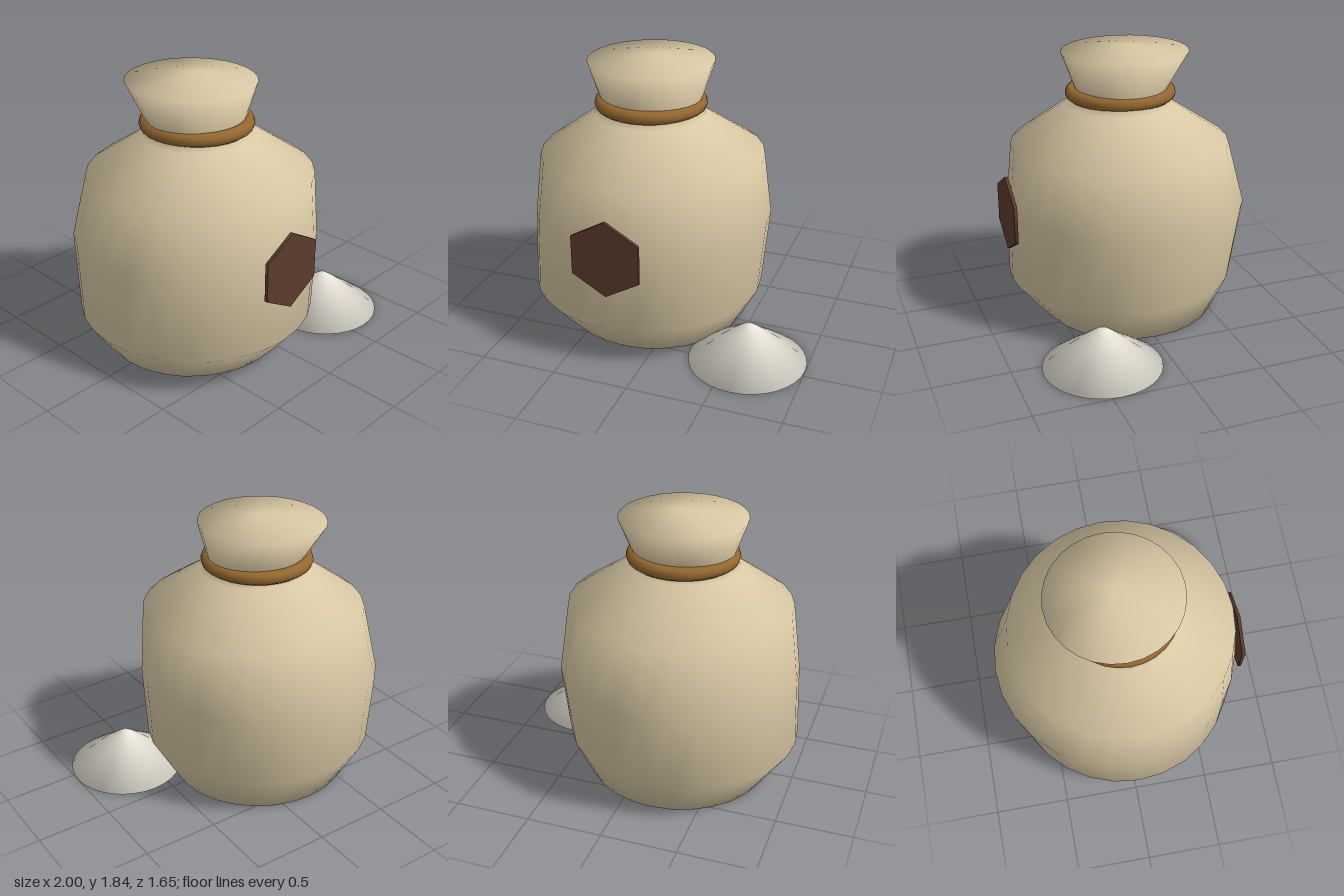
import * as THREE from 'three';

const mat = (name, color) => {
  const m = new THREE.MeshStandardMaterial({ color });
  m.name = name;
  return m;
};

// Closed smooth loft through elliptical rings [y, xMin, xMax, zMin, zMax], with a pole at each end
function loft(rings, bottom, top, sides) {
  const pos = [], index = [];
  for (const [y, x0, x1, z0, z1] of rings) {
    for (let i = 0; i < sides; i++) {
      const a = (i / sides) * Math.PI * 2;
      pos.push((x0 + x1) / 2 + Math.sin(a) * (x1 - x0) / 2, y, (z0 + z1) / 2 + Math.cos(a) * (z1 - z0) / 2);
    }
  }
  const b = rings.length * sides, t = b + 1, last = (rings.length - 1) * sides;
  pos.push(...bottom, ...top);
  for (let i = 0; i < sides; i++) {
    const j = (i + 1) % sides;
    for (let r = 0; r < last; r += sides) {
      index.push(r + i, r + j, r + sides + j, r + i, r + sides + j, r + sides + i);
    }
    index.push(b, j, i, t, last + i, last + j);
  }
  const g = new THREE.BufferGeometry();
  g.setAttribute('position', new THREE.Float32BufferAttribute(pos, 3));
  g.setIndex(index);
  g.computeVertexNormals();
  return g;
}

export function createModel() {
  const group = new THREE.Group();
  const add = (name, geometry, material, x = 0, y = 0, z = 0) => {
    const mesh = new THREE.Mesh(geometry, material);
    mesh.name = name;
    mesh.position.set(x, y, z);
    group.add(mesh);
    return mesh;
  };

  const burlap = mat('burlap', 0xd8c8a4);
  const rope = mat('rope', 0x94682f);
  const leather = mat('dark leather', 0x5c3d2e);
  const flour = mat('flour', 0xe8e4d8);

  // Sack: slightly lopsided body, pinched neck and flared, closed mouth
  add('sack', loft([
    [0, -0.81, 0.41, -0.62, 0.57],
    [0.26, -1.0, 0.55, -0.75, 0.79],
    [0.77, -0.985, 0.59, -0.825, 0.795],
    [1.2, -0.92, 0.55, -0.7, 0.755],
    [1.46, -0.565, 0.165, -0.31, 0.375],
    [1.55, -0.53, 0.13, -0.275, 0.31],
    [1.8, -0.62, 0.2, -0.445, 0.4],
  ], [-0.2, 0, -0.02], [-0.18, 1.84, -0.02], 28), burlap);

  // Rope tied round the neck
  const tie = new THREE.TorusGeometry(0.322, 0.044, 10, 28);
  tie.rotateX(Math.PI / 2);
  add('neckRope', tie, rope, -0.2, 1.53, 0.015);

  // Six-sided patch on the front
  const patch = new THREE.CylinderGeometry(0.257, 0.257, 0.022, 6);
  patch.rotateX(Math.PI / 2);
  add('frontPatch', patch, leather, -0.2, 0.772, 0.81);

  // Spilled heap beside the sack
  add('heap', loft([
    [0, -0.385, 0.385, -0.385, 0.385],
    [0.257, -0.036, 0.036, -0.036, 0.036],
  ], [0, 0, 0], [0, 0.257, 0], 32), flour, 0.615, 0, 0.435);

  return group;
}
